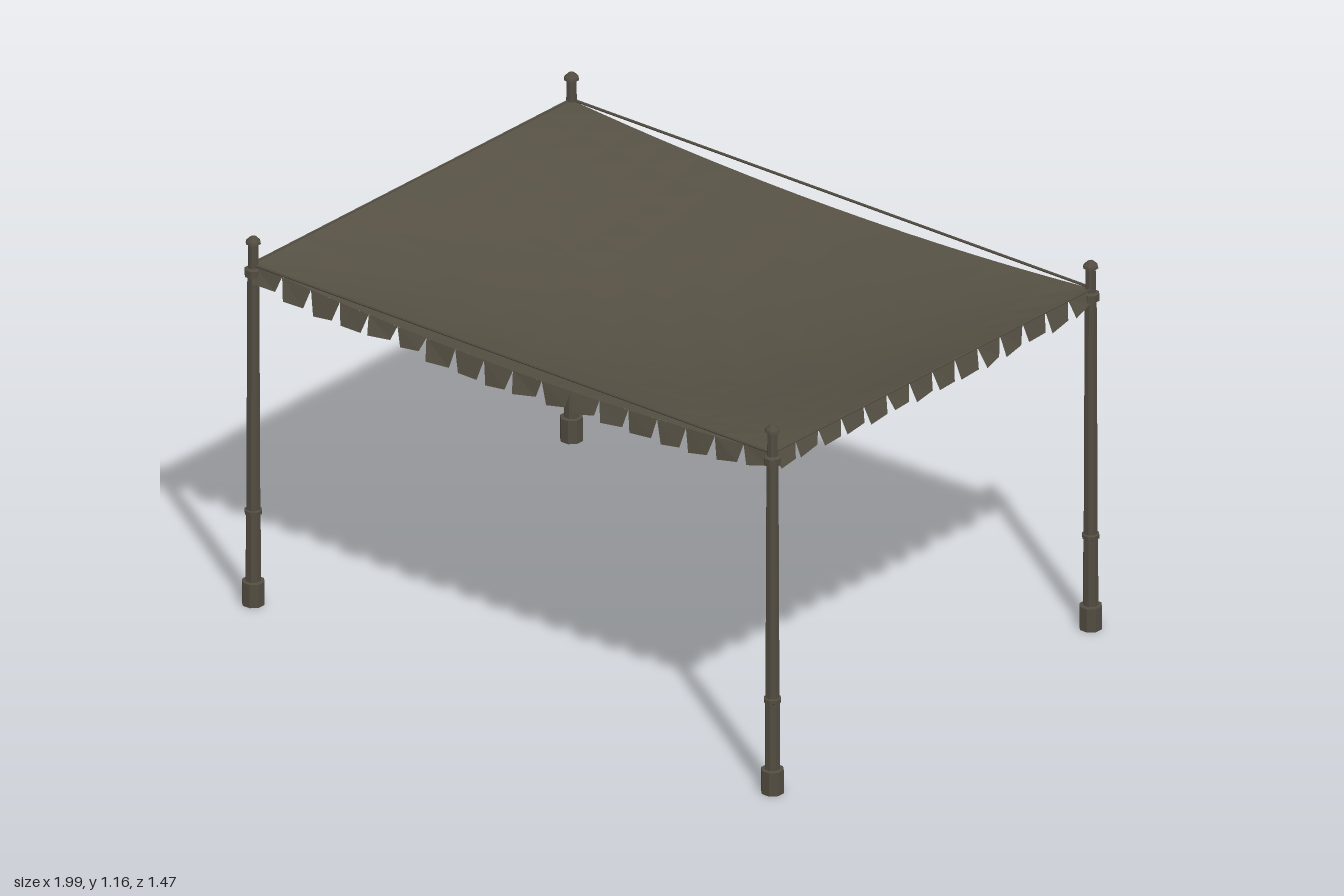
import * as THREE from 'three';

const X = 0.965, Z = 0.705, TOP = 1.072;

// Height of the sagging cloth: straight short sides, drooping long sides, deepest in the middle
function clothY(x, z) {
  const u = Math.min(1, Math.abs(x / X)), v = Math.min(1, Math.abs(z / Z));
  return TOP - (1 - u * u) * (0.04 + 0.12 * (1 - v * v));
}

// Small seeded generator for the ragged flaps
function seeded(seed) {
  return () => {
    seed = (seed * 16807) % 2147483647;
    return seed / 2147483647;
  };
}

// Plane laid on the sagging surface
function drape(w, d, nx, nz, cx, cz, lift) {
  const g = new THREE.PlaneGeometry(w, d, nx, nz).rotateX(-Math.PI / 2).translate(cx, 0, cz);
  const p = g.attributes.position;
  for (let i = 0; i < p.count; i++) p.setY(i, clothY(p.getX(i), p.getZ(i)) + lift);
  g.computeVertexNormals();
  return g;
}

// Row of tapered, uneven flaps between two corners, leaning outwards
function flapRow(from, to, count, out, rand) {
  const pos = [];
  const at = (t, drop, lean) => {
    const p = new THREE.Vector3().lerpVectors(from, to, t);
    p.y = clothY(p.x, p.z) - drop;
    return p.addScaledVector(out, lean);
  };
  for (let i = 0; i < count; i++) {
    const t0 = i / count, w = 1 / count;
    const drop = 0.052 + 0.018 * rand(), slant = 0.016 * rand();
    const a = at(t0, 0, 0), b = at(t0 + w, 0, 0);
    const c = at(t0 + w * (0.82 + 0.1 * rand()), drop - slant, 0.008 + 0.008 * rand());
    const d = at(t0 + w * (0.1 + 0.15 * rand()), drop, 0.012 + 0.008 * rand());
    for (const p of [a, d, c, a, c, b]) pos.push(p.x, p.y, p.z);
  }
  const g = new THREE.BufferGeometry();
  g.setAttribute('position', new THREE.Float32BufferAttribute(pos, 3));
  g.computeVertexNormals();
  return g;
}

export function createModel() {
  const group = new THREE.Group();
  group.name = 'canopy';
  const cloth = new THREE.MeshStandardMaterial({ name: 'cloth', color: 0x565144, flatShading: true, side: THREE.DoubleSide });
  const wood = new THREE.MeshStandardMaterial({ name: 'wood', color: 0x524c41, flatShading: true });

  const add = (name, geo, mat) => {
    const m = new THREE.Mesh(geo, mat);
    m.name = name;
    group.add(m);
    return m;
  };

  // Corner posts: octagonal foot, tapered shaft, two collars and a pointed cap
  const profile = [
    [0, 0], [0.034, 0], [0.034, 0.073], [0.023, 0.075],
    [0.022, 0.284], [0.026, 0.286], [0.026, 0.298], [0.021, 0.3],
    [0.018, 1.034], [0.026, 1.036], [0.026, 1.058], [0.016, 1.062],
    [0.015, 1.136], [0.023, 1.138], [0.021, 1.146], [0.009, 1.158], [0, 1.16],
  ].map(([r, y]) => new THREE.Vector2(r, y));
  const postGeo = new THREE.LatheGeometry(profile, 8, Math.PI / 8);
  for (const sx of [-1, 1]) for (const sz of [-1, 1]) {
    const name = (sz > 0 ? 'front' : 'back') + (sx > 0 ? 'Left' : 'Right') + 'Post';
    add(name, postGeo, wood).position.set(sx * X, 0, sz * Z);
  }

  // Sagging roof cloth
  add('roofCloth', drape(2 * X, 2 * Z, 16, 12, 0, 0, 0), cloth);

  // Sewn-on patches: centre x, centre z, width, depth
  const patches = [[-0.54, 0.085, 0.37, 0.31], [0.345, -0.315, 0.41, 0.31], [0.045, 0.345, 0.27, 0.29]];
  for (const [cx, cz, w, d] of patches) add('patch', drape(w, d, 6, 6, cx, cz, 0.002), cloth);

  // Hanging flaps and taut ropes on all four sides
  const rand = seeded(77);
  const corners = [[-X, Z], [X, Z], [X, -Z], [-X, -Z]].map(([x, z]) => new THREE.Vector3(x, TOP, z));
  const names = ['front', 'left', 'back', 'right'];
  const outs = [[0, 0, 1], [1, 0, 0], [0, 0, -1], [-1, 0, 0]];
  names.forEach((side, i) => {
    const from = corners[i], to = corners[(i + 1) % 4];
    const out = new THREE.Vector3(...outs[i]);
    add(side + 'Flaps', flapRow(from, to, i % 2 ? 14 : 18, out, rand), cloth);
    const rope = new THREE.CylinderGeometry(0.004, 0.004, from.distanceTo(to), 6);
    const m = add(side + 'Rope', rope, wood);
    m.position.copy(from).add(to).multiplyScalar(0.5).addScaledVector(out, 0.004);
    m.quaternion.setFromUnitVectors(new THREE.Vector3(0, 1, 0), to.clone().sub(from).normalize());
  });

  return group;
}
